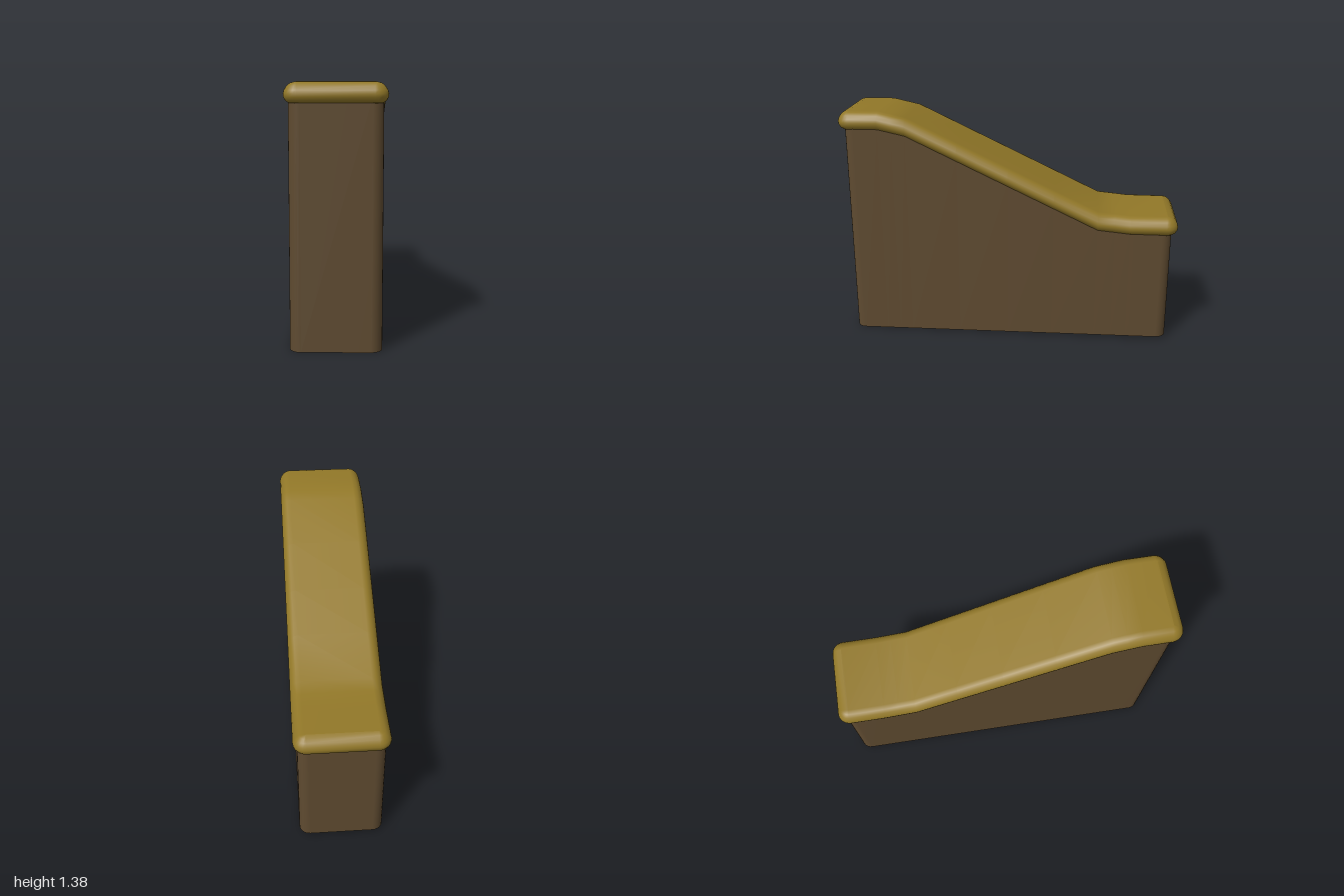
import * as THREE from 'three';

// Height of the sloping top along z: high deck, long ramp, low deck
const PROFILE = [[1.1, 1.38], [0.76, 1.38], [0.6, 1.345], [-0.53, 0.805], [-0.72, 0.787], [-1.1, 0.787]];
const BREAKS = [0.76, 0.68, 0.6, 0.3, 0, -0.27, -0.53, -0.63, -0.72];

function topAt(z) {
  for (let i = 1; i < PROFILE.length; i++) {
    const [z0, y0] = PROFILE[i - 1], [z1, y1] = PROFILE[i];
    if (z >= z1) return y0 + (y1 - y0) * (z0 - z) / (z0 - z1);
  }
  return PROFILE[PROFILE.length - 1][1];
}

// Rounded rectangle [x, z], mirrored in x, with extra points where the slope bends
function outline(halfWidth, halfLength, radius, steps = 6) {
  const half = [];
  const corner = (sign, t) => half.push([
    halfWidth - radius + radius * Math.sin(t),
    sign * (halfLength - radius + radius * Math.cos(t)),
  ]);
  for (let i = 0; i <= steps; i++) corner(1, (i / steps) * Math.PI / 2);
  for (const z of BREAKS) half.push([halfWidth, z]);
  for (let i = steps; i >= 0; i--) corner(-1, (i / steps) * Math.PI / 2);
  return [...half, ...half.map(([x, z]) => [-x, z]).reverse()];
}

// Skin a stack of rings, optionally filling the lowest and highest
function loft(rings, closed) {
  const n = rings[0].length, index = [];
  for (let k = 0; k < rings.length - 1; k++) {
    for (let i = 0; i < n; i++) {
      const j = (i + 1) % n, a = k * n, b = a + n;
      index.push(a + i, a + j, b + j, a + i, b + j, b + i);
    }
  }
  if (closed) {
    const t = (rings.length - 1) * n;
    for (let i = 0; i < n / 2 - 1; i++) {
      const p = i, q = i + 1, r = n - 2 - i, s = n - 1 - i;
      index.push(t + p, t + q, t + r, t + p, t + r, t + s);
      index.push(p, r, q, p, s, r);
    }
  }
  const geometry = new THREE.BufferGeometry();
  geometry.setAttribute('position', new THREE.Float32BufferAttribute(rings.flat(2), 3));
  geometry.setIndex(index);
  geometry.computeVertexNormals();
  return geometry;
}

export function createModel() {
  const group = new THREE.Group();
  group.name = 'slopedWall';

  const wallBrown = new THREE.MeshStandardMaterial({ color: 0x5e4a30, side: THREE.DoubleSide });
  wallBrown.name = 'wall brown';
  const copingOchre = new THREE.MeshStandardMaterial({ color: 0x927828 });
  copingOchre.name = 'coping ochre';

  // Hollow wall, open underneath, its foot rising slightly to the back
  const plan = outline(0.24, 0.965, 0.06);
  const wall = new THREE.Mesh(loft([
    plan.map(([x, z]) => [x, 0.01 * (1 - z / 0.965), z]),
    plan.map(([x, z]) => [x, topAt(z) - 0.08, z]),
  ], false), wallBrown);
  wall.name = 'wall';

  // Rounded coping that follows the slope: [inset, drop below the top]
  const edge = [[0.05, 0.108], [0.028, 0.105], [0.012, 0.094], [0.002, 0.076], [0, 0.06],
    [0.005, 0.042], [0.018, 0.022], [0.036, 0.007], [0.062, 0]];
  const coping = new THREE.Mesh(loft(edge.map(([inset, drop]) =>
    outline(0.263 - inset, 1 - inset, 0.07 - inset).map(([x, z]) => [x, topAt(z) - drop, z])
  ), true), copingOchre);
  coping.name = 'coping';

  group.add(wall, coping);
  return group;
}
